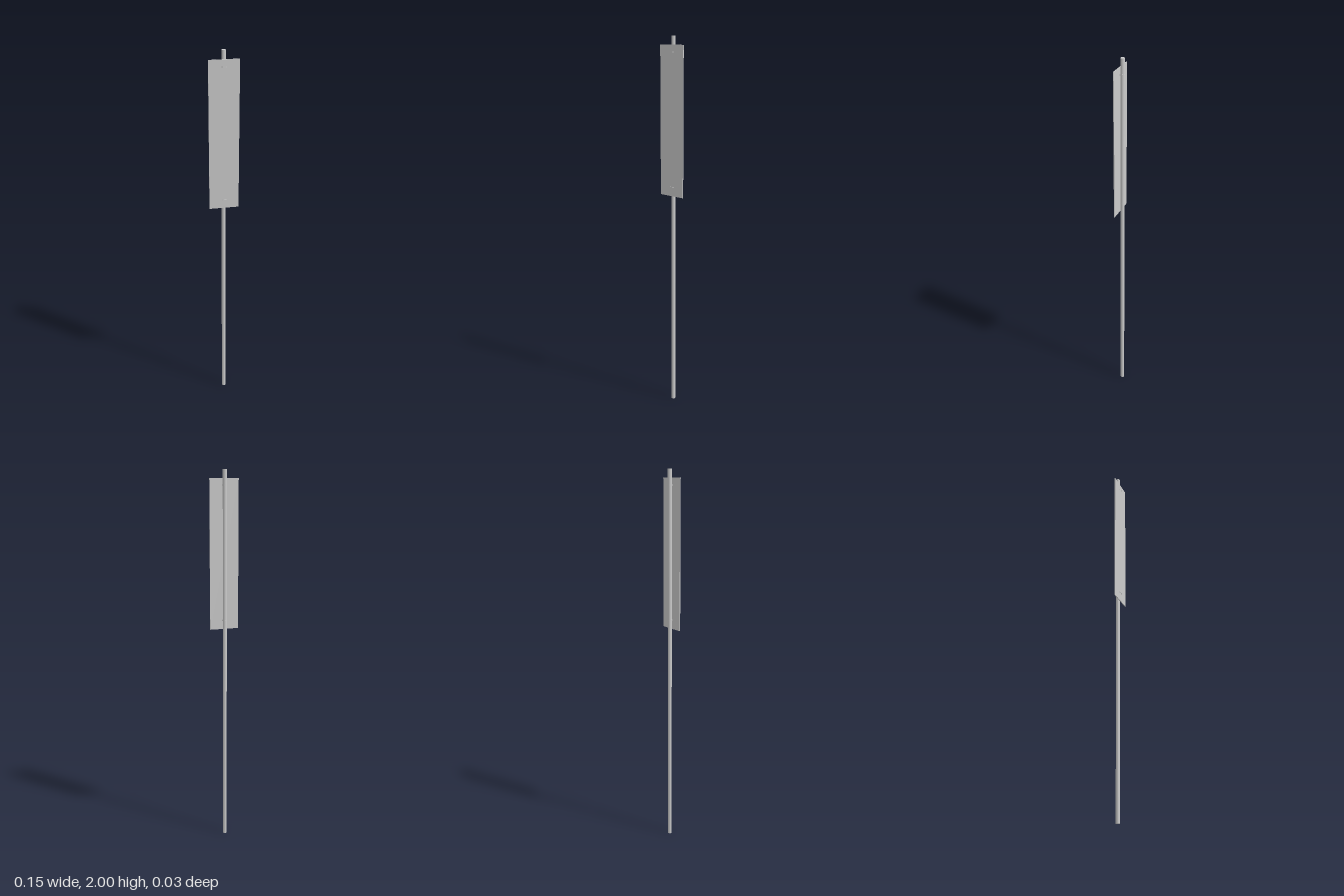
import * as THREE from 'three';

const POLE_R = 0.0105, POLE_Z = -0.0045;

// Outline wrapping the pole at the back, with rounded corners at the front (shape y = -z)
function loop(path, r, front, corner) {
  const back = -POLE_Z;
  path.absarc(0, back, r, 0, Math.PI, false);
  path.lineTo(-r, -front + corner);
  path.absarc(-r + corner, -front + corner, corner, Math.PI, Math.PI * 1.5, false);
  path.lineTo(r - corner, -front);
  path.absarc(r - corner, -front + corner, corner, Math.PI * 1.5, Math.PI * 2, false);
  path.closePath();
  return path;
}

export function createModel() {
  const model = new THREE.Group();
  model.name = 'signPost';
  const material = new THREE.MeshStandardMaterial({ color: 0xcccccc });

  const add = (name, geometry, x, y, z) => {
    const mesh = new THREE.Mesh(geometry, material);
    mesh.name = name;
    mesh.position.set(x, y, z);
    model.add(mesh);
    return mesh;
  };

  // Round pole
  add('pole', new THREE.CylinderGeometry(POLE_R, POLE_R, 2, 32), 0, 1, POLE_Z);

  // Tall thin sign plate mounted on the front of the pole
  add('signPlate', new THREE.BoxGeometry(0.153, 0.77, 0.004), 0, 1.572, 0.008);

  // Thin straps that hold the plate to the pole
  const height = 0.005;
  const shape = loop(new THREE.Shape(), POLE_R + 0.001, 0.015, 0.005);
  shape.holes.push(loop(new THREE.Path(), POLE_R, 0.014, 0.004));
  const strap = new THREE.ExtrudeGeometry(shape, { depth: height, bevelEnabled: false, curveSegments: 16 });
  strap.rotateX(-Math.PI / 2);
  for (const [name, y] of [['upperStrap', 1.922], ['lowerStrap', 1.235]]) {
    add(name, strap, 0, y - height / 2, 0);
  }

  return model;
}
